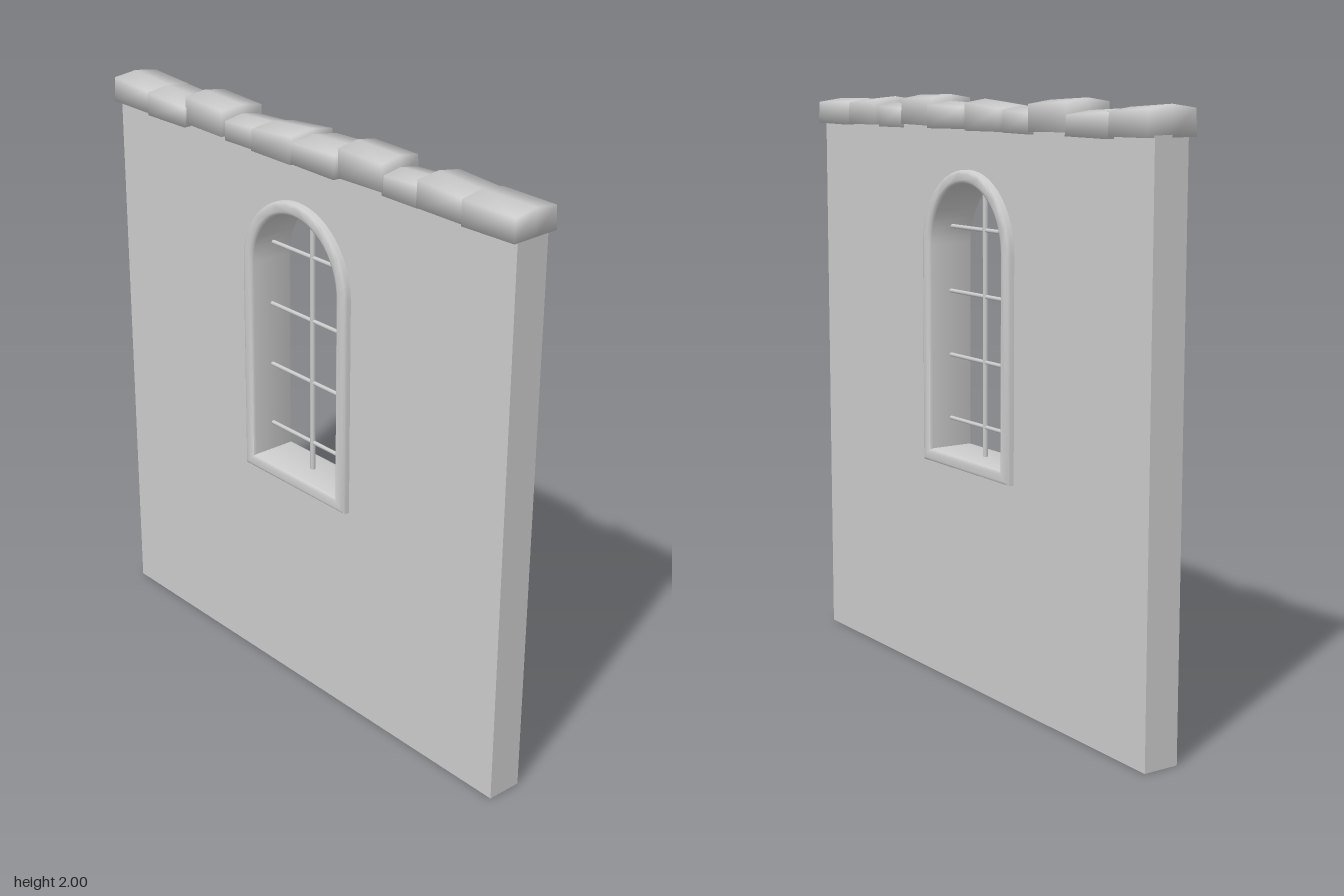
import * as THREE from 'three';
import { mergeVertices, toCreasedNormals } from 'three/addons/utils/BufferGeometryUtils.js';

const material = new THREE.MeshStandardMaterial({ color: 0xcccccc });
const CENTRE_Z = -0.005;
const SPRING_Y = 1.5;

function add(parent, name, geometry) {
  const mesh = new THREE.Mesh(geometry, material);
  mesh.name = name;
  parent.add(mesh);
  return mesh;
}

// Arched outline; local x runs along the wall, y is up
function arch(path, halfWidth, bottom, rise) {
  path.moveTo(-halfWidth, bottom);
  path.lineTo(halfWidth, bottom);
  path.lineTo(halfWidth, SPRING_Y);
  path.absellipse(0, SPRING_Y, halfWidth, rise, 0, Math.PI, false);
  path.lineTo(-halfWidth, bottom);
  return path;
}

// Extrudes a shape across the wall thickness, centred on x = 0
function extrudeAcross(shape, thickness, bevel) {
  const geometry = new THREE.ExtrudeGeometry(shape, {
    depth: thickness - 2 * bevel,
    curveSegments: 14,
    bevelEnabled: bevel > 0,
    bevelThickness: bevel,
    bevelSize: bevel,
    bevelOffset: -bevel,
    bevelSegments: 2,
  });
  geometry.translate(0, 0, -thickness / 2 + bevel);
  geometry.rotateY(Math.PI / 2);
  geometry.translate(0, 0, CENTRE_Z);
  return geometry;
}

// Rough coping block: a box with tilted top, low ridge and softened normals
function copingStone(z0, z1, x0, x1, bottom, top0, top1, skew) {
  const geometry = new THREE.BoxGeometry(1, 1, 1, 2, 1, 1);
  geometry.deleteAttribute('uv');
  geometry.deleteAttribute('normal');
  const merged = mergeVertices(geometry);
  const p = merged.attributes.position;
  for (let i = 0; i < p.count; i++) {
    const u = p.getX(i), up = p.getY(i) > 0, far = p.getZ(i) < 0;
    const top = far ? top1 : top0;
    const shoulder = u === 0 ? 0 : 0.012;
    const x = u === 0 ? 0 : (u < 0 ? x0 : x1) * (up ? 0.97 : 1);
    const y = up ? top - shoulder : bottom + (far ? skew : -skew) * 0.3;
    const z = (far ? z1 : z0) + skew * u * 2 + (up ? skew * 0.5 : 0);
    p.setXYZ(i, x, y, z);
  }
  merged.computeVertexNormals();
  return merged;
}

export function createModel() {
  const model = new THREE.Group();
  model.name = 'windowWall';

  // Wall slab with arched opening
  const slab = new THREE.Shape();
  slab.moveTo(-0.95, 0);
  slab.lineTo(0.95, 0);
  slab.lineTo(0.95, 1.9);
  slab.lineTo(-0.95, 1.9);
  slab.closePath();
  slab.holes.push(arch(new THREE.Path(), 0.232, 0.777, 0.238));
  add(model, 'wall', toCreasedNormals(extrudeAcross(slab, 0.124, 0), 0.5));

  // Window frame standing slightly proud of both faces
  const frame = arch(new THREE.Shape(), 0.256, 0.755, 0.26);
  frame.holes.push(arch(new THREE.Path(), 0.21, 0.8, 0.215));
  add(model, 'windowFrame', toCreasedNormals(extrudeAcross(frame, 0.176, 0.012), 0.9));

  // Window bars
  const bars = new THREE.Group();
  bars.name = 'windowBars';
  model.add(bars);
  const upright = add(bars, 'verticalBar', new THREE.CylinderGeometry(0.009, 0.009, 0.94, 8));
  upright.position.set(0, 1.26, CENTRE_Z);
  for (const y of [0.9, 1.12, 1.34, 1.56]) {
    const bar = add(bars, 'horizontalBar', new THREE.CylinderGeometry(0.007, 0.007, 0.43, 8));
    bar.rotation.x = Math.PI / 2;
    bar.position.set(0, y, CENTRE_Z);
  }

  // Coping stones: z0, z1, x0, x1, bottom, top at z0, top at z1, skew
  const stones = [
    [0.955, 0.745, -0.09, 0.09, 1.887, 1.975, 1.978, -0.004],
    [0.745, 0.56, -0.085, 0.085, 1.89, 1.975, 1.988, 0.003],
    [0.555, 0.4, -0.075, 0.07, 1.885, 1.967, 1.96, 0.002],
    [0.4, 0.205, -0.082, 0.078, 1.897, 1.995, 2.0, -0.004],
    [0.205, 0, -0.092, 0.09, 1.89, 1.978, 1.972, 0.005],
    [-0.005, -0.2, -0.09, 0.08, 1.887, 1.988, 1.972, 0.003],
    [-0.2, -0.36, -0.075, 0.072, 1.885, 1.968, 1.96, -0.003],
    [-0.365, -0.56, -0.08, 0.08, 1.895, 1.99, 2.0, 0.006],
    [-0.56, -0.765, -0.09, 0.09, 1.885, 1.962, 1.973, -0.003],
    [-0.765, -0.955, -0.09, 0.086, 1.892, 1.976, 1.988, 0.003],
  ];
  const coping = new THREE.Group();
  coping.name = 'coping';
  model.add(coping);
  for (const stone of stones) add(coping, 'copingStone', copingStone(...stone));

  return model;
}
